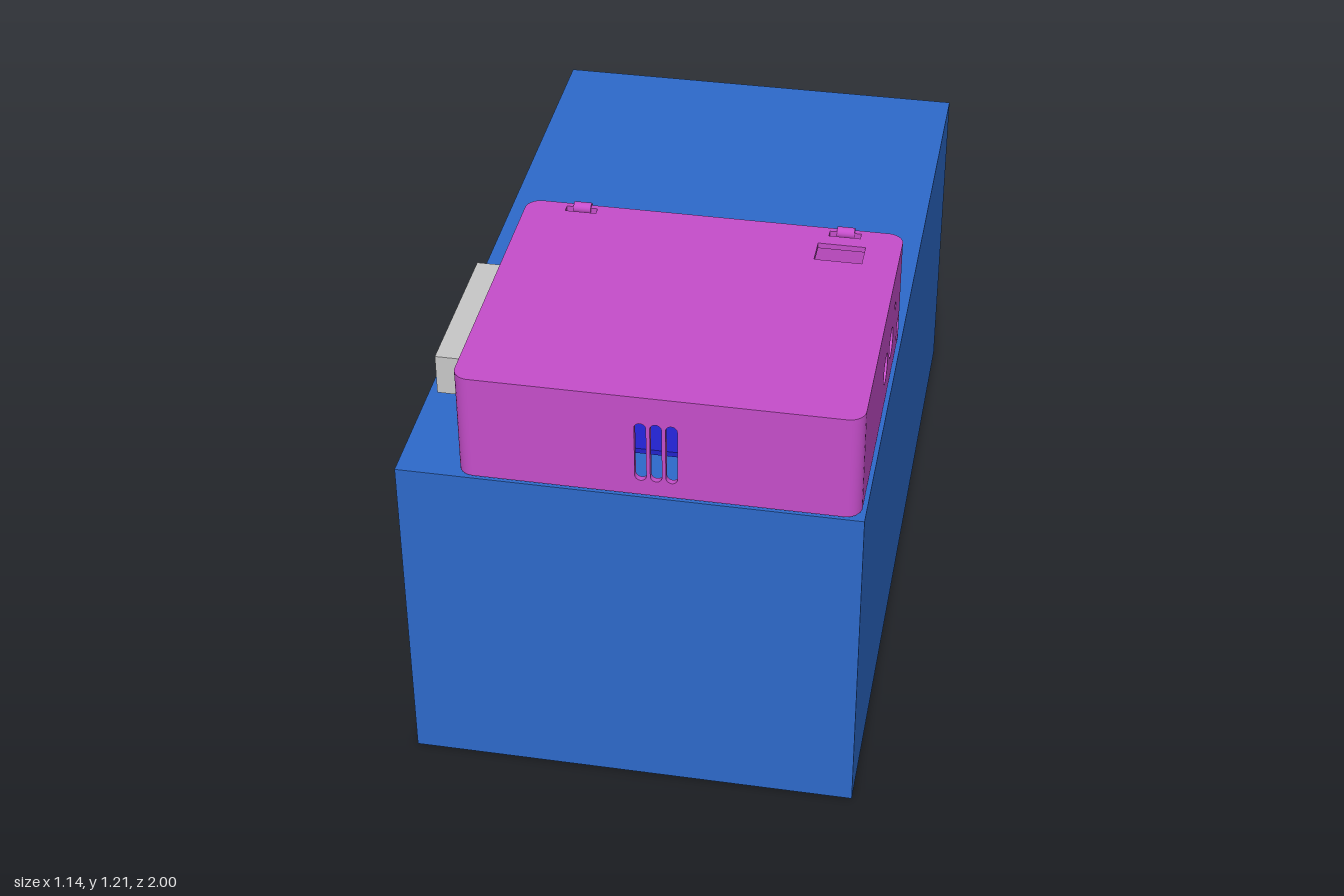
import * as THREE from 'three';

const material = (name, color) => {
  const m = new THREE.MeshStandardMaterial({ color });
  m.name = name;
  return m;
};

export function createModel() {
  const blue = material('block blue', 0x2d6acb);
  const magenta = material('case magenta', 0xc64ecb);
  const grey = material('light grey', 0xc8c8c8);
  const amber = material('amber', 0xcca028);
  const darkBlue = material('deep blue', 0x2222cc);
  magenta.side = THREE.DoubleSide;

  const model = new THREE.Group();
  const add = (name, geometry, mat, parent = model) => {
    const mesh = new THREE.Mesh(geometry, mat);
    mesh.name = name;
    parent.add(mesh);
    return mesh;
  };
  // Box given by its lowest and highest corner
  const box = (name, a, b, mat, parent) => {
    const mesh = add(name, new THREE.BoxGeometry(b[0] - a[0], b[1] - a[1], b[2] - a[2]), mat, parent);
    mesh.position.set((a[0] + b[0]) / 2, (a[1] + b[1]) / 2, (a[2] + b[2]) / 2);
    return mesh;
  };

  // Shapes and holes
  const rect = (x0, y0, x1, y1, Type = THREE.Path) => {
    const p = new Type();
    p.moveTo(x0, y0).lineTo(x1, y0).lineTo(x1, y1).lineTo(x0, y1).closePath();
    return p;
  };
  const circle = (x, y, r) => new THREE.Path().absarc(x, y, r, 0, Math.PI * 2);
  const slot = (x, y0, y1, r) => {
    const p = new THREE.Path();
    p.absarc(x, y1 - r, r, 0, Math.PI);
    p.absarc(x, y0 + r, r, Math.PI, Math.PI * 2);
    return p.closePath();
  };
  const plate = (shape, holes, depth) => {
    shape.holes.push(...holes);
    return new THREE.ExtrudeGeometry(shape, { depth, bevelEnabled: false, curveSegments: 12 });
  };

  // Solid base block and the loose box beside the case
  box('baseBlock', [-0.57, 0, -1], [0.57, 0.905, 1], blue);
  box('sideBox', [-0.545, 0.915, 0.26], [-0.435, 1.025, 0.69], grey);

  // Hollow case, open underneath
  const shell = new THREE.Group();
  shell.name = 'case';
  model.add(shell);
  const X0 = -0.415, X1 = 0.56, Z0 = 0.2, Z1 = 1, Y0 = 0.913, Y1 = 1.197;
  const T = 0.015, R = 0.04, top = Y1 - T;
  const slots = () => [0.035, 0.0725, 0.11].map(x => slot(x, 0.955, 1.122, 0.014));
  const wallX = () => rect(X0 + R, Y0, X1 - R, top, THREE.Shape);
  const wallZ = () => rect(Z0 + R, Y0, Z1 - R, top, THREE.Shape);

  add('frontWall', plate(wallX(), slots(), T), magenta, shell).position.z = Z1 - T;
  add('backWall', plate(wallX(), [...slots(), rect(-0.29, 0.925, -0.19, 1.04)], T), magenta, shell).position.z = Z0;
  const portHoles = [
    circle(0.54, 1.02, 0.04), circle(0.425, 1.02, 0.04),
    circle(0.36, 1.086, 0.012), rect(0.243, 0.927, 0.29, 0.985),
  ];
  add('portWall', plate(wallZ(), portHoles, T).rotateY(-Math.PI / 2), magenta, shell).position.x = X1;
  add('plainWall', plate(wallZ(), [], T).rotateY(-Math.PI / 2), magenta, shell).position.x = X0 + T;

  // Rounded upright corners
  const corners = [[X1 - R, Z1 - R], [X1 - R, Z0 + R], [X0 + R, Z0 + R], [X0 + R, Z1 - R]];
  corners.forEach(([x, z], i) => {
    for (const r of [R, R - T]) {
      const arc = new THREE.CylinderGeometry(r, r, top - Y0, 8, 1, true, i * Math.PI / 2, Math.PI / 2);
      add('corner', arc, magenta, shell).position.set(x, (Y0 + top) / 2, z);
    }
    const rim = new THREE.RingGeometry(R - T, R, 8, 1, Math.PI / 2 - (i + 1) * Math.PI / 2, Math.PI / 2);
    add('cornerRim', rim.rotateX(Math.PI / 2), magenta, shell).position.set(x, Y0, z);
  });

  // Lid with a window and two hinge notches
  const lid = new THREE.Shape();
  lid.absarc(X1 - R, Z1 - R, R, 0, Math.PI / 2);
  lid.absarc(X0 + R, Z1 - R, R, Math.PI / 2, Math.PI);
  lid.absarc(X0 + R, Z0 + R, R, Math.PI, Math.PI * 1.5);
  lid.absarc(X1 - R, Z0 + R, R, Math.PI * 1.5, Math.PI * 2);
  const hingeX = [-0.27, 0.412];
  const lidHoles = [rect(0.35, 0.275, 0.47, 0.35), ...hingeX.map(x => rect(x - 0.04, 0.215, x + 0.04, 0.237))];
  add('lid', plate(lid, lidHoles, T).rotateX(Math.PI / 2), magenta, shell).position.y = Y1;

  // Hinge pins
  for (const x of hingeX) {
    const pin = new THREE.CylinderGeometry(0.014, 0.014, 0.045, 16).rotateZ(Math.PI / 2);
    add('hingePin', pin, magenta, shell).position.set(x, 1.191, 0.205);
  }

  // Contents of the case
  box('circuitBoard', [-0.1, 0.918, 0.22], [0.5, 0.932, 0.85], darkBlue);
  box('blueComponent', [0, 0.97, 0.3], [0.48, 1.03, 0.37], darkBlue);
  box('greyComponent', [0.06, 0.932, 0.62], [0.125, 0.985, 0.7], grey);
  box('amberComponent', [-0.33, 0.918, 0.21], [-0.17, 1.065, 0.62], amber);

  return model;
}
